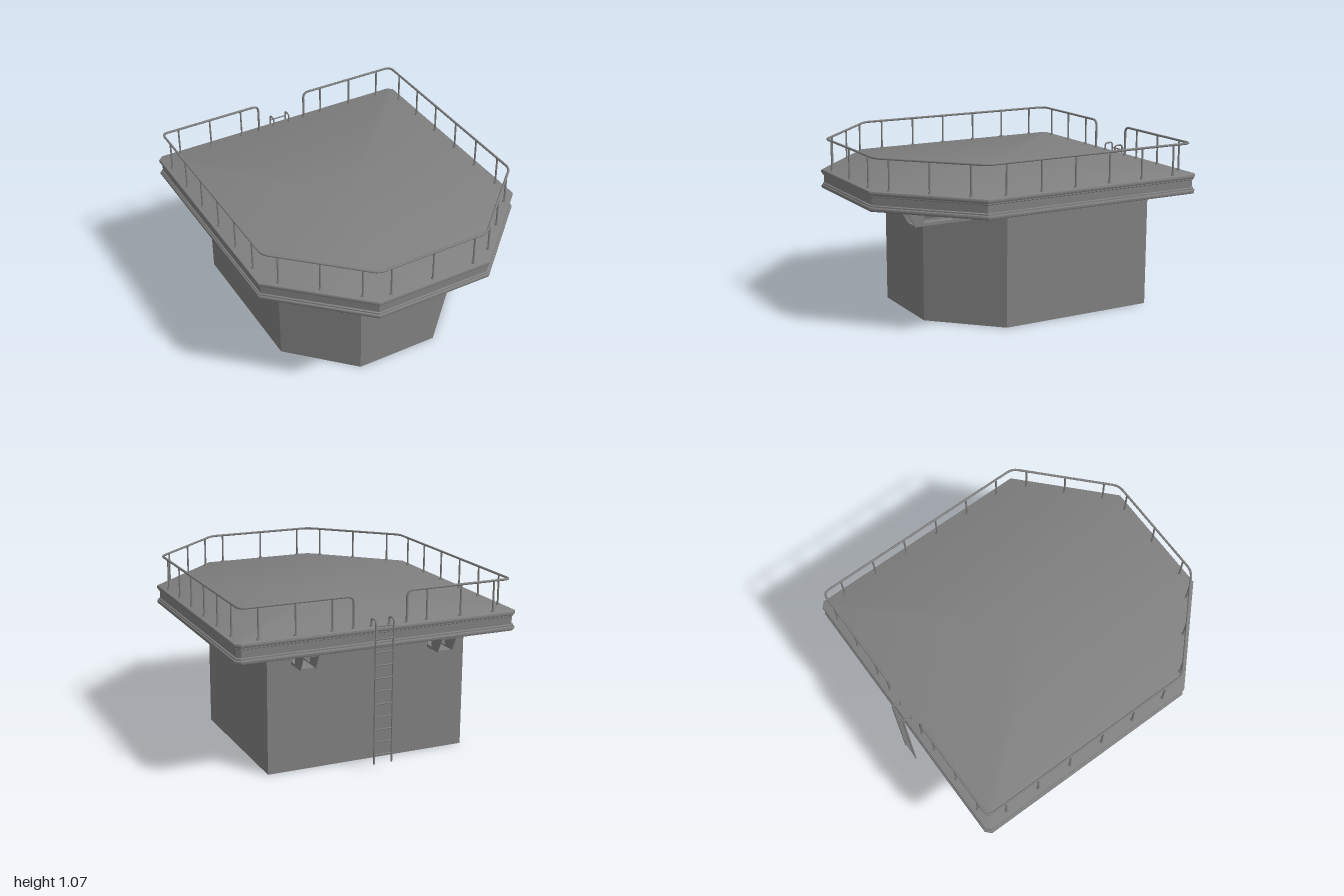
import * as THREE from 'three';
import { toCreasedNormals } from 'three/addons/utils/BufferGeometryUtils.js';

const steel = new THREE.MeshStandardMaterial({ color: 0x808080, side: THREE.DoubleSide });
steel.name = 'grey steel';

function add(parent, name, geometry, x = 0, y = 0, z = 0) {
  const mesh = new THREE.Mesh(geometry, steel);
  mesh.name = name;
  mesh.position.set(x, y, z);
  parent.add(mesh);
  return mesh;
}

// Moves a convex outline of [x, z] points inwards by d
function inset(outline, d) {
  const n = outline.length;
  const normal = (a, b) => {
    const ex = b[0] - a[0], ez = b[1] - a[1], l = Math.hypot(ex, ez);
    return [ez / l, -ex / l];
  };
  return outline.map((p, i) => {
    const a = normal(outline[(i + n - 1) % n], p);
    const b = normal(p, outline[(i + 1) % n]);
    const k = d / (1 + a[0] * b[0] + a[1] * b[1]);
    return [p[0] - k * (a[0] + b[0]), p[1] - k * (a[1] + b[1])];
  });
}

// Sweeps an edge profile of [inset, y] around an outline and caps both ends
function slab(outline, profile) {
  const rings = profile.map(([d, y]) => inset(outline, d).map(([x, z]) => [x, y, z]));
  const n = outline.length, v = [];
  const bottom = [0, profile[0][1], 0], top = [0, profile.at(-1)[1], 0];
  for (let i = 0; i < n; i++) {
    const j = (i + 1) % n;
    for (let r = 0; r + 1 < rings.length; r++) {
      const a = rings[r], b = rings[r + 1];
      v.push(...a[i], ...b[i], ...b[j], ...a[i], ...b[j], ...a[j]);
    }
    v.push(...bottom, ...rings[0][i], ...rings[0][j]);
    v.push(...rings.at(-1)[i], ...top, ...rings.at(-1)[j]);
  }
  const g = new THREE.BufferGeometry();
  g.setAttribute('position', new THREE.Float32BufferAttribute(v, 3));
  return toCreasedNormals(g, 0.6);
}

// Tube along straight runs joined by rounded bends
function pipe(points, bend, radius, segments) {
  const p = points.map((q) => new THREE.Vector3(...q));
  const path = new THREE.CurvePath();
  path.arcLengthDivisions = 600;
  let from = p[0];
  for (let i = 1; i < p.length - 1; i++) {
    const before = p[i].clone().add(p[i - 1].clone().sub(p[i]).setLength(bend));
    const after = p[i].clone().add(p[i + 1].clone().sub(p[i]).setLength(bend));
    path.add(new THREE.LineCurve3(from, before));
    path.add(new THREE.QuadraticBezierCurve3(before, p[i], after));
    from = after;
  }
  path.add(new THREE.LineCurve3(from, p.at(-1)));
  return new THREE.TubeGeometry(path, segments, radius, 8);
}

// Upright wall panel between two [x, z] points, notched at the top for the beams
function wallPanel(parent, a, b, height, notches, notchY) {
  const ex = b[0] - a[0], ez = b[1] - a[1], length = Math.hypot(ex, ez);
  const s = new THREE.Shape();
  s.moveTo(0, 0).lineTo(length, 0).lineTo(length, height);
  notches.map((pair) => pair.map((x) => ((x - a[0]) / ex) * length).sort((m, n) => n - m))
    .sort((m, n) => n[0] - m[0])
    .forEach(([hi, lo]) => s.lineTo(hi, height).lineTo(hi, notchY).lineTo(lo, notchY).lineTo(lo, height));
  s.lineTo(0, height);
  const mesh = add(parent, 'wallPanel', new THREE.ShapeGeometry(s), a[0], 0, a[1]);
  mesh.rotation.y = Math.atan2(-ez, ex);
}

// Hollow beam with slanted open ends and windows in its sides
function makeBeam(x) {
  const beam = new THREE.Group();
  beam.name = 'supportBeam';
  const t = 0.007, w = 0.1, low = 0.655, high = 0.75;
  const side = new THREE.Shape();
  side.moveTo(0.76, low).lineTo(0.81, high).lineTo(-0.96, high).lineTo(-0.91, low);
  for (const [z0, z1] of [[0.51, 0.7], [0.29, 0.48], [-0.84, -0.65]]) {
    const hole = new THREE.Path();
    hole.moveTo(z0, 0.672).lineTo(z0, 0.73).lineTo(z1, 0.73).lineTo(z1, 0.672);
    side.holes.push(hole);
  }
  const plate = new THREE.ExtrudeGeometry(side, { depth: t, bevelEnabled: false });
  plate.rotateY(-Math.PI / 2);
  add(beam, 'beamSide', plate, x + w / 2);
  add(beam, 'beamSide', plate, x - w / 2 + t);
  add(beam, 'beamFloor', new THREE.BoxGeometry(w, t, 1.67), x, low + t / 2, -0.075);
  add(beam, 'beamTop', new THREE.BoxGeometry(w, t, 1.77), x, high - t / 2, -0.075);
  return beam;
}

export function createModel() {
  const model = new THREE.Group();
  model.name = 'platform';

  // Deck with rounded upper and lower flanges and a recessed band
  const deckOutline = [[0.895, 0.5], [0.375, 0.995], [-0.375, 0.995], [-0.895, 0.5],
    [-0.895, -0.947], [-0.862, -0.977], [0.862, -0.977], [0.895, -0.947]];
  const half = [[0.008, 0.75], [0.002, 0.753], [0, 0.758], [0, 0.768], [0.002, 0.773], [0.008, 0.776],
    [0.008, 0.784], [0.016, 0.788]];
  const profile = [...half, ...half.map(([d, y]) => [d, 1.622 - y]).reverse()];
  add(model, 'deck', slab(deckOutline, profile));

  // Hollow base, open underneath
  const base = new THREE.Group();
  base.name = 'base';
  model.add(base);
  const hull = [[-0.64, 0.23], [-0.27, 0.605], [0.27, 0.605], [0.64, 0.23], [0.64, -0.785], [-0.64, -0.785]];
  const rightNotch = [0.397, 0.483], leftNotch = [-0.483, -0.397];
  const notches = [[leftNotch], [], [rightNotch], [], [leftNotch, rightNotch], []];
  hull.forEach((a, i) => wallPanel(base, a, hull[(i + 1) % hull.length], 0.75, notches[i], 0.66));

  // Beams running through the base
  for (const x of [-0.44, 0.44]) model.add(makeBeam(x));

  // Railing
  const railing = new THREE.Group();
  railing.name = 'railing';
  model.add(railing);
  const y = 1.061, deckY = 0.872, back = -0.937;
  const halfRail = [[0.17, deckY, back], [0.17, y, back], [0.857, y, back], [0.857, y, 0.488], [0.362, y, 0.959]];
  const railPath = [...halfRail, ...halfRail.map(([px, py, pz]) => [-px, py, pz]).reverse()];
  add(railing, 'handrail', pipe(railPath, 0.04, 0.0075, 480));

  // Posts on one half, mirrored to the other
  const posts = [
    ...[0.3, 0.524, 0.746].map((x) => [x, back]),
    ...[-0.81, -0.577, -0.344, -0.106, 0.127, 0.36].map((z) => [0.857, z]),
    ...[0.79, 0.61, 0.43].map((x) => [x, 0.488 + (0.857 - x) * 0.9515]),
    [0.28, 0.959],
  ];
  const postGeometry = new THREE.CylinderGeometry(0.006, 0.006, y - deckY, 8);
  const footGeometry = new THREE.CylinderGeometry(0.009, 0.012, 0.012, 10);
  const addFoot = (x, z) => add(railing, 'postFoot', footGeometry, x, deckY + 0.006, z);
  const addPost = (x, z) => {
    add(railing, 'post', postGeometry, x, (y + deckY) / 2, z);
    addFoot(x, z);
  };
  for (const m of [-1, 1]) {
    posts.forEach(([x, z]) => addPost(m * x, z));
    addFoot(m * 0.17, back);
  }
  addPost(0, 0.959);

  // Ladder hooked over the back edge
  const ladder = new THREE.Group();
  ladder.name = 'ladder';
  model.add(ladder);
  const ladderZ = -0.994;
  for (const x of [-0.057, 0.057]) {
    const rail = [[x, 0.05, ladderZ], [x, 0.92, ladderZ], [x, 0.92, back], [x, deckY, back]];
    add(ladder, 'ladderRail', pipe(rail, 0.018, 0.0055, 120));
    addFoot(x, back);
  }
  const rung = new THREE.CylinderGeometry(0.0045, 0.0045, 0.114, 8).rotateZ(Math.PI / 2);
  for (let i = 0; i < 11; i++) add(ladder, 'rung', rung, 0, 0.885 - i * 0.078, ladderZ);

  return model;
}
